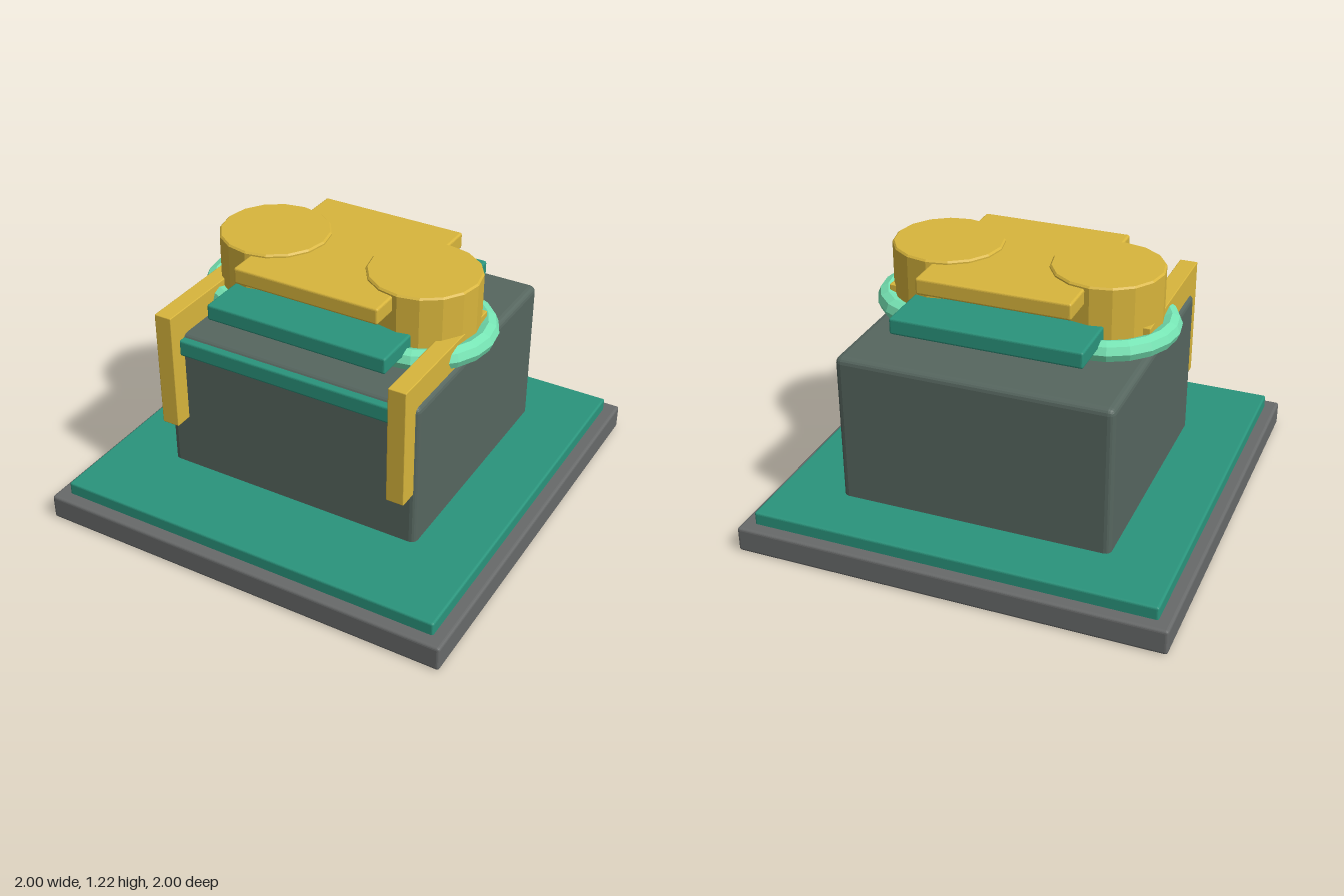
import * as THREE from 'three';
import { RoundedBoxGeometry } from 'three/addons/geometries/RoundedBoxGeometry.js';

const paint = (color) => new THREE.MeshStandardMaterial({ color, flatShading: true });

export function createModel() {
  const model = new THREE.Group();
  const stone = paint(0x686a6a);
  const slate = paint(0x56665f);
  const teal = paint(0x2a947c);
  const gold = paint(0xd8b53c);
  const mint = paint(0x76e4b4);

  const add = (name, geometry, material, x, y, z) => {
    const mesh = new THREE.Mesh(geometry, material);
    mesh.name = name;
    mesh.position.set(x, y, z);
    model.add(mesh);
    return mesh;
  };

  // Softly bevelled block given by its lower and upper limits
  const block = (name, material, [x0, x1], [y0, y1], [z0, z1], bevel = 0.01) =>
    add(name, new RoundedBoxGeometry(x1 - x0, y1 - y0, z1 - z0, 2, bevel), material,
      (x0 + x1) / 2, (y0 + y1) / 2, (z0 + z1) / 2);

  // Stepped base
  block('basePlate', stone, [-1, 1], [0, 0.12], [-1, 1], 0.013);
  block('baseMat', teal, [-0.94, 0.94], [0.1, 0.18], [-0.94, 0.94]);

  // Main body with a trim strip along its front edge
  block('body', slate, [-0.638, 0.638], [0.12, 0.885], [-0.665, 0.53], 0.03);
  block('frontTrim', teal, [-0.545, 0.545], [0.79, 0.87], [0.48, 0.56]);

  // Stacked plates above the body
  block('lowerPlate', teal, [-0.445, 0.445], [0.958, 1.035], [-0.507, 0.47]);
  block('upperPlate', gold, [-0.357, 0.357], [1.123, 1.2], [-0.415, 0.38]);

  // Drum profile with a small bevel at the top rim
  const drumProfile = [[0, 0], [0.257, 0], [0.257, 0.407], [0.249, 0.415], [0, 0.415]]
    .map(([r, y]) => new THREE.Vector2(r, y));

  for (const side of [-1, 1]) {
    const prefix = side > 0 ? 'left' : 'right';
    add(prefix + 'Drum', new THREE.LatheGeometry(drumProfile, 16), gold, side * 0.38, 0.8, 0);

    // Ring around the foot of the drum
    const ring = new THREE.TorusGeometry(0.288, 0.049, 8, 20).rotateX(Math.PI / 2);
    add(prefix + 'Ring', ring, mint, side * 0.38, 0.937, 0);

    // Arm running over the top and hanging down the front
    const limits = side > 0 ? [0.537, 0.622] : [-0.622, -0.537];
    block(prefix + 'Arm', gold, limits, [0.44, 1.008], [-0.14, 0.615], 0.004);
  }
  return model;
}
